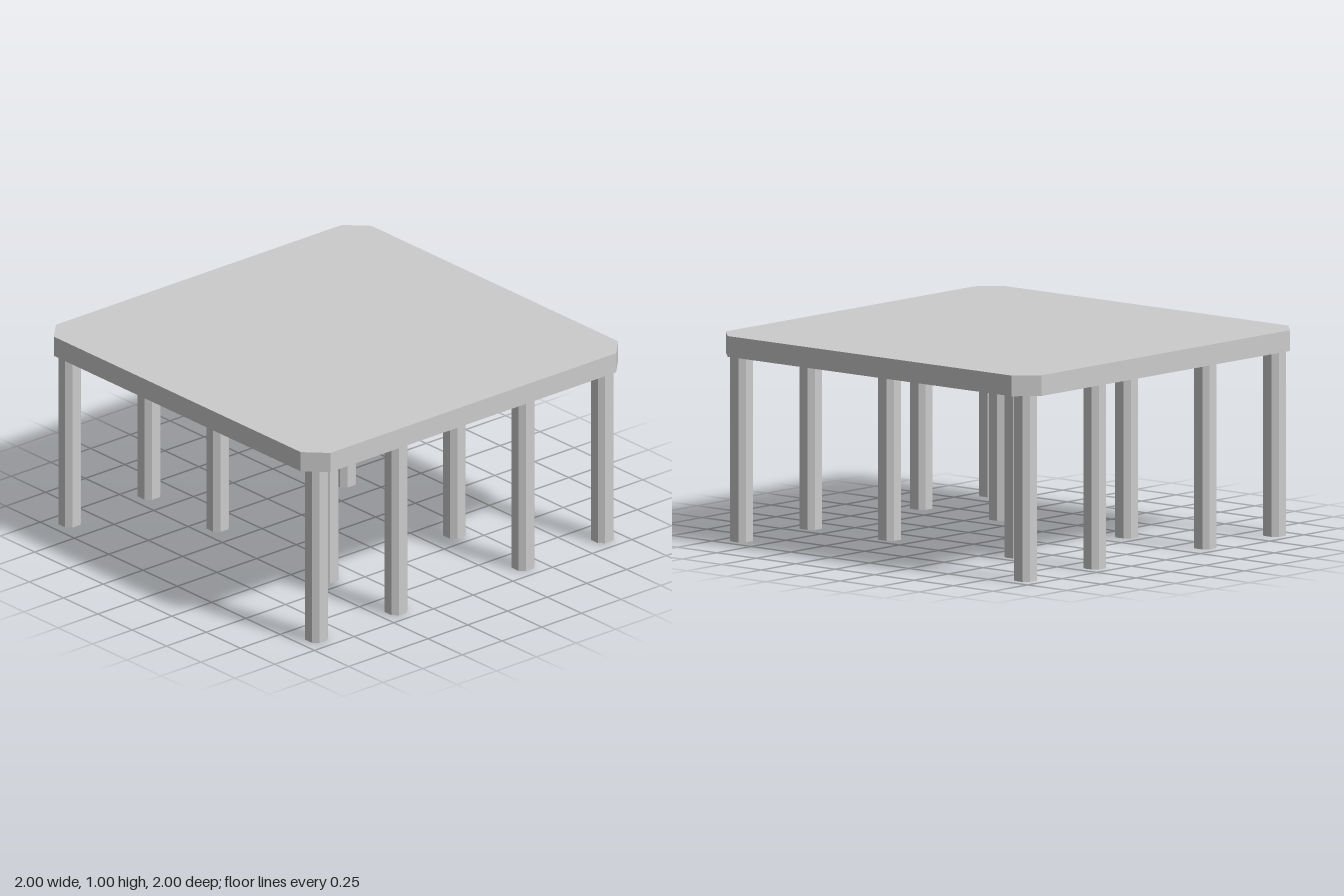
import * as THREE from 'three';

const material = new THREE.MeshStandardMaterial({ color: 0xcccccc, flatShading: true });

// Upright prism with a square plan whose corners are cut off, base at y = 0
function chamferedPrism(half, cut, height) {
  const h = half, k = half - cut;
  const outline = [[h, -k], [h, k], [k, h], [-k, h], [-h, k], [-h, -k], [-k, -h], [k, -h]];
  const shape = new THREE.Shape(outline.map(([x, y]) => new THREE.Vector2(x, y)));
  const geometry = new THREE.ExtrudeGeometry(shape, { depth: height, bevelEnabled: false });
  return geometry.rotateX(-Math.PI / 2);
}

export function createModel() {
  const table = new THREE.Group();
  table.name = 'table';

  // Square top with clipped corners
  const top = new THREE.Mesh(chamferedPrism(1, 0.1, 0.1), material);
  top.name = 'tableTop';
  top.position.y = 0.9;
  table.add(top);

  // Twelve eight-sided legs: four corners, two along each side, four inside
  const legGeometry = chamferedPrism(0.05, 0.025, 0.9);
  const legs = new THREE.Group();
  legs.name = 'legs';
  for (const [x, z] of [[0.9, 0.9], [0.9, 0.4], [0.4, 0.4]]) {
    for (const sx of [-1, 1]) {
      for (const sz of [-1, 1]) {
        const leg = new THREE.Mesh(legGeometry, material);
        leg.name = 'leg';
        leg.position.set(sx * x, 0, sz * z);
        legs.add(leg);
      }
    }
  }
  table.add(legs);
  return table;
}
